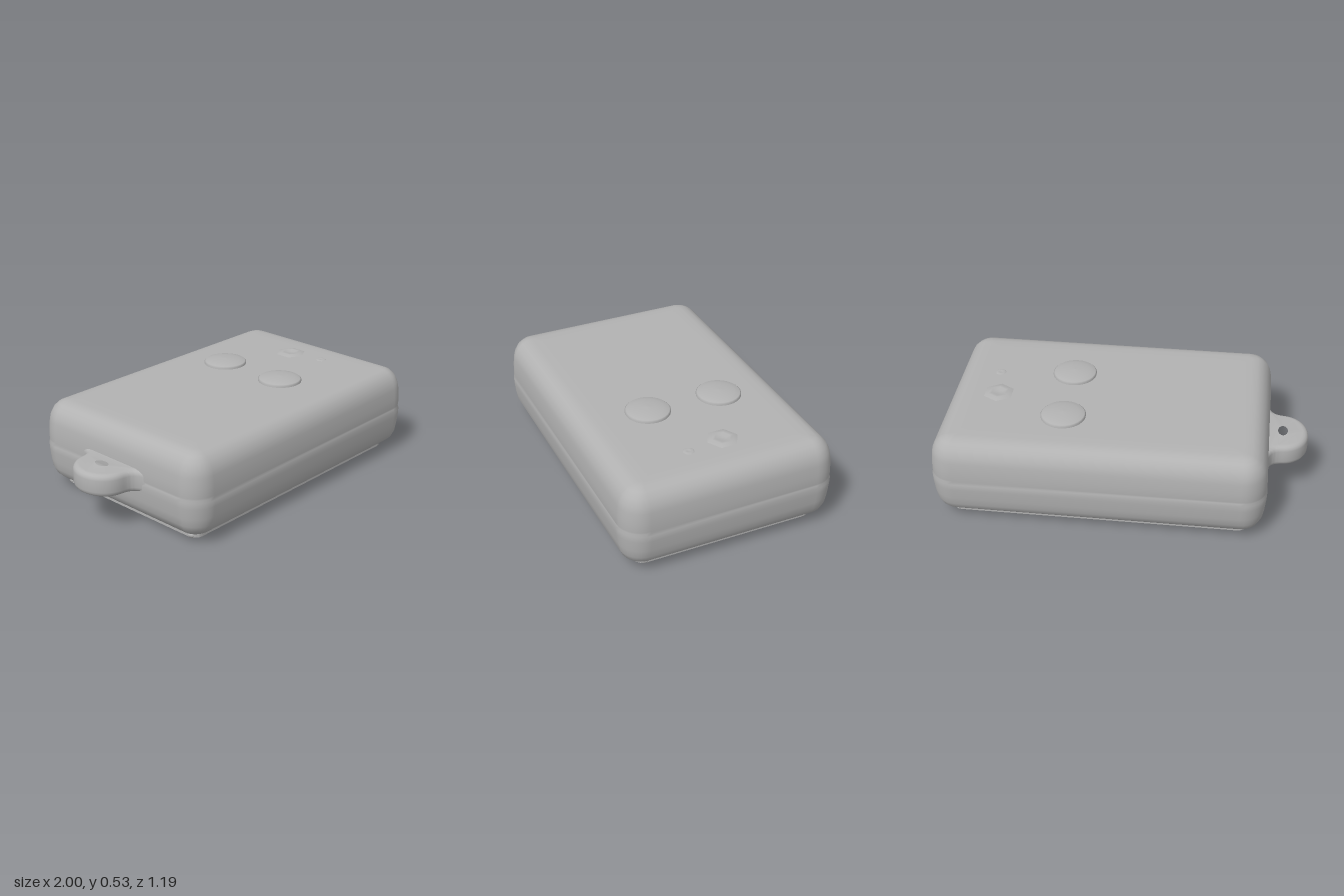
import * as THREE from 'three';
import { mergeVertices, toCreasedNormals } from 'three/addons/utils/BufferGeometryUtils.js';

const CX = 0.105; // centre of the case along x

// Points round a rounded rectangle, as [x, z]
function roundedRect(hx, hz, r, steps = 8) {
  const pts = [];
  [[1, 1], [-1, 1], [-1, -1], [1, -1]].forEach(([sx, sz], q) => {
    for (let i = 0; i <= steps; i++) {
      const a = (q + i / steps) * Math.PI / 2;
      pts.push([sx * (hx - r) + r * Math.cos(a), sz * (hz - r) + r * Math.sin(a)]);
    }
  });
  return pts;
}

// Stack of rounded rectangles following an [inset, y] profile
function caseGeometry(profile) {
  const pos = [], idx = [];
  let n = 0;
  for (const [inset, y] of profile) {
    const ring = roundedRect(0.895 - inset, 0.597 - inset, Math.max(0.135 - inset, 0.02));
    n = ring.length;
    for (const [x, z] of ring) pos.push(x, y, z);
  }
  const rows = profile.length, bottom = rows * n, top = bottom + 1;
  pos.push(0, profile[0][1], 0, 0, profile[rows - 1][1], 0);
  for (let i = 0; i < n; i++) {
    const j = (i + 1) % n;
    for (let k = 0; k < rows - 1; k++) {
      const a = k * n + i, b = k * n + j;
      idx.push(a, a + n, b, b, a + n, b + n);
    }
    const t = (rows - 1) * n;
    idx.push(bottom, i, j, top, t + j, t + i);
  }
  const g = new THREE.BufferGeometry();
  g.setAttribute('position', new THREE.Float32BufferAttribute(pos, 3));
  g.setIndex(idx);
  g.computeVertexNormals();
  return g;
}

// Key-ring lug, drawn in x and z and extruded in y
function lugGeometry() {
  const s = new THREE.Shape();
  s.moveTo(-0.74, -0.25);
  s.lineTo(-0.785, -0.235);
  s.bezierCurveTo(-0.80, -0.17, -0.83, -0.165, -0.87, -0.16);
  s.bezierCurveTo(-0.95, -0.15, -1, -0.08, -1, 0);
  s.bezierCurveTo(-1, 0.08, -0.95, 0.15, -0.87, 0.16);
  s.bezierCurveTo(-0.83, 0.165, -0.80, 0.17, -0.785, 0.235);
  s.lineTo(-0.74, 0.25);
  const hole = new THREE.Path();
  hole.absellipse(-0.86, -0.003, 0.057, 0.074, 0, Math.PI * 2, true);
  s.holes.push(hole);
  const g = new THREE.ExtrudeGeometry(s, {
    depth: 0.064, bevelEnabled: true, bevelThickness: 0.03, bevelSize: 0.03,
    bevelOffset: -0.03, bevelSegments: 4, curveSegments: 14,
  });
  g.rotateX(Math.PI / 2);
  g.deleteAttribute('uv');
  g.deleteAttribute('normal');
  return toCreasedNormals(mergeVertices(g, 1e-4), 0.9);
}

// Flat rim round the underside
function rimGeometry() {
  const toV = ([x, z]) => new THREE.Vector2(x, z);
  const s = new THREE.Shape(roundedRect(0.80, 0.50, 0.05, 4).map(toV));
  s.holes.push(new THREE.Path(roundedRect(0.765, 0.465, 0.03, 4).map(toV).reverse()));
  const g = new THREE.ExtrudeGeometry(s, { depth: 0.03, bevelEnabled: false });
  return g.rotateX(Math.PI / 2);
}

function lathe(points, segments) {
  return new THREE.LatheGeometry(points.map(([r, y]) => new THREE.Vector2(r, y)), segments);
}

export function createModel() {
  const model = new THREE.Group();
  const grey = new THREE.MeshStandardMaterial({ color: 0xb2b2b2 });
  grey.name = 'grey plastic';
  const add = (name, geometry, x = 0, y = 0, z = 0) => {
    const mesh = new THREE.Mesh(geometry, grey);
    mesh.name = name;
    mesh.position.set(x, y, z);
    model.add(mesh);
    return mesh;
  };

  // Soft case with a faint parting line round the middle
  add('case', caseGeometry([
    [0.19, 0.03], [0.13, 0.031], [0.095, 0.037], [0.06, 0.054], [0.032, 0.08], [0.015, 0.115],
    [0.007, 0.16], [0.001, 0.22], [0, 0.255], [0.006, 0.268], [0.003, 0.28], [0.004, 0.33],
    [0.009, 0.385], [0.017, 0.42], [0.035, 0.455], [0.062, 0.48], [0.09, 0.492],
    [0.125, 0.497], [0.19, 0.498],
  ]), CX);

  add('keyringLug', lugGeometry(), 0, 0.302, 0);

  // Domed push buttons
  const button = lathe([[0.122, 0.485], [0.122, 0.507], [0.115, 0.513], [0.085, 0.52], [0.045, 0.525], [0, 0.527]], 28);
  for (const z of [-0.235, 0.18]) add('button', button, 0.322, 0, z);

  // Indicator ring and a small pinhole ring
  add('indicatorRing', lathe([[0.092, 0.496], [0.06, 0.507], [0.042, 0.507], [0.022, 0.5], [0, 0.4995]], 6), 0.71, 0, -0.06);
  add('pinholeRing', lathe([[0.034, 0.496], [0.022, 0.503], [0.01, 0.4995], [0, 0.4995]], 8), 0.74, 0, 0.145);

  // Underside panel, its rim and corner nubs
  add('basePanel', new THREE.BoxGeometry(1.56, 0.02, 0.96), CX, 0.03, 0);
  add('baseRim', rimGeometry(), CX, 0.042, 0);
  const nub = new THREE.SphereGeometry(0.035, 12, 8).scale(1, 0.6, 0.9);
  for (const x of [-0.77, 0.77]) {
    for (const z of [-0.455, 0.455]) add('cornerNub', nub, CX + x, 0.021, z);
  }
  return model;
}
